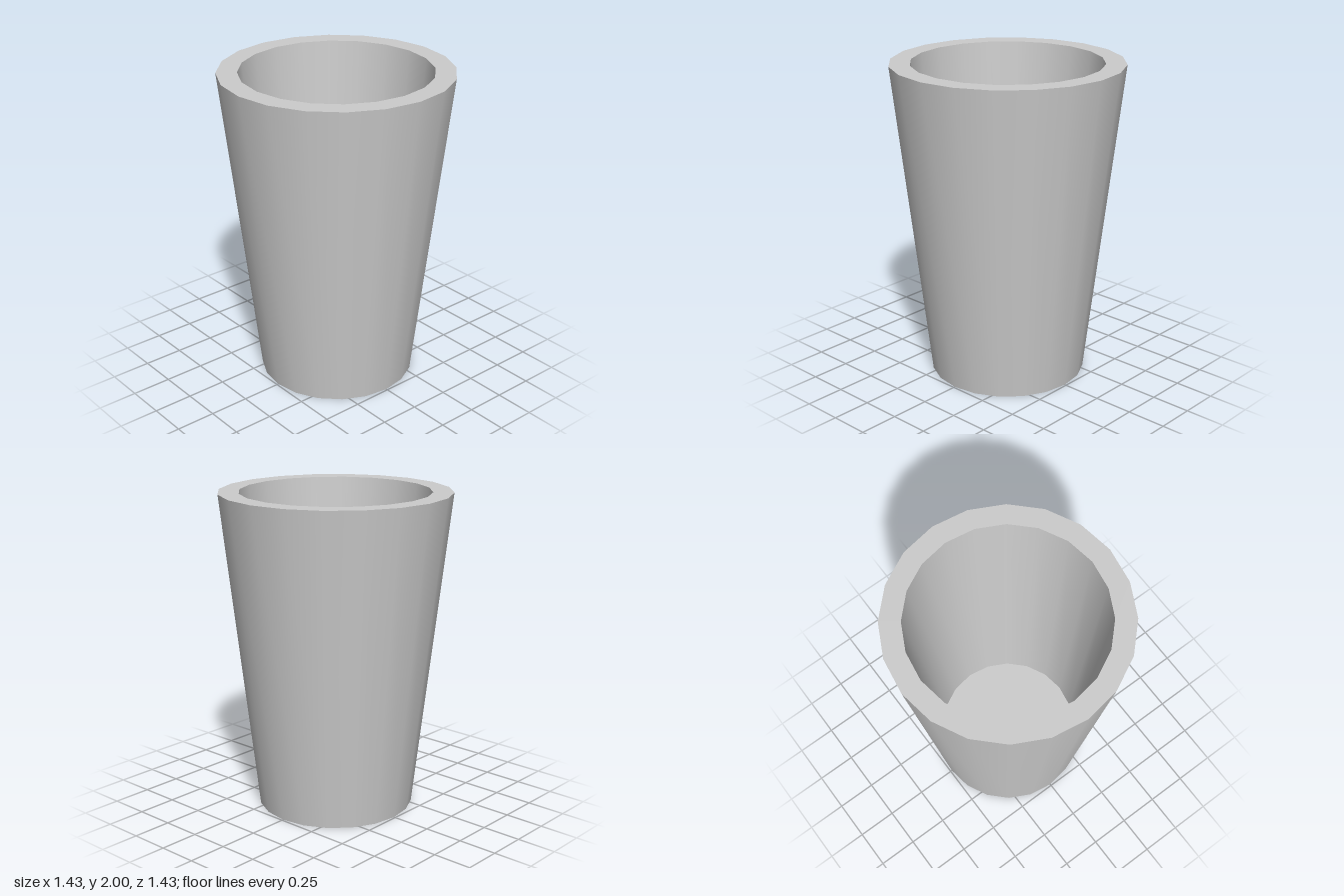
import * as THREE from 'three';

const SIDES = 20;

// Profile corners [radius, height], from the base centre up over the rim to the floor centre
const base = [0.49, 0];
const rimOuter = [0.717, 2];
const rimInner = [0.59, 2];
const floor = [0.45, 0.15];

export function createModel() {
  const group = new THREE.Group();
  group.name = 'cup';
  const material = new THREE.MeshStandardMaterial({ color: 0xcccccc });

  // Each band is its own lathe: smooth around, sharp where bands meet
  const addBand = (name, from, to) => {
    const points = [from, to].map(([r, y]) => new THREE.Vector2(r, y));
    const mesh = new THREE.Mesh(new THREE.LatheGeometry(points, SIDES), material);
    mesh.name = name;
    group.add(mesh);
  };

  addBand('base', [0, base[1]], base);
  addBand('outerWall', base, rimOuter);
  addBand('rim', rimOuter, rimInner);
  addBand('innerWall', rimInner, floor);
  addBand('innerFloor', floor, [0, floor[1]]);

  return group;
}
